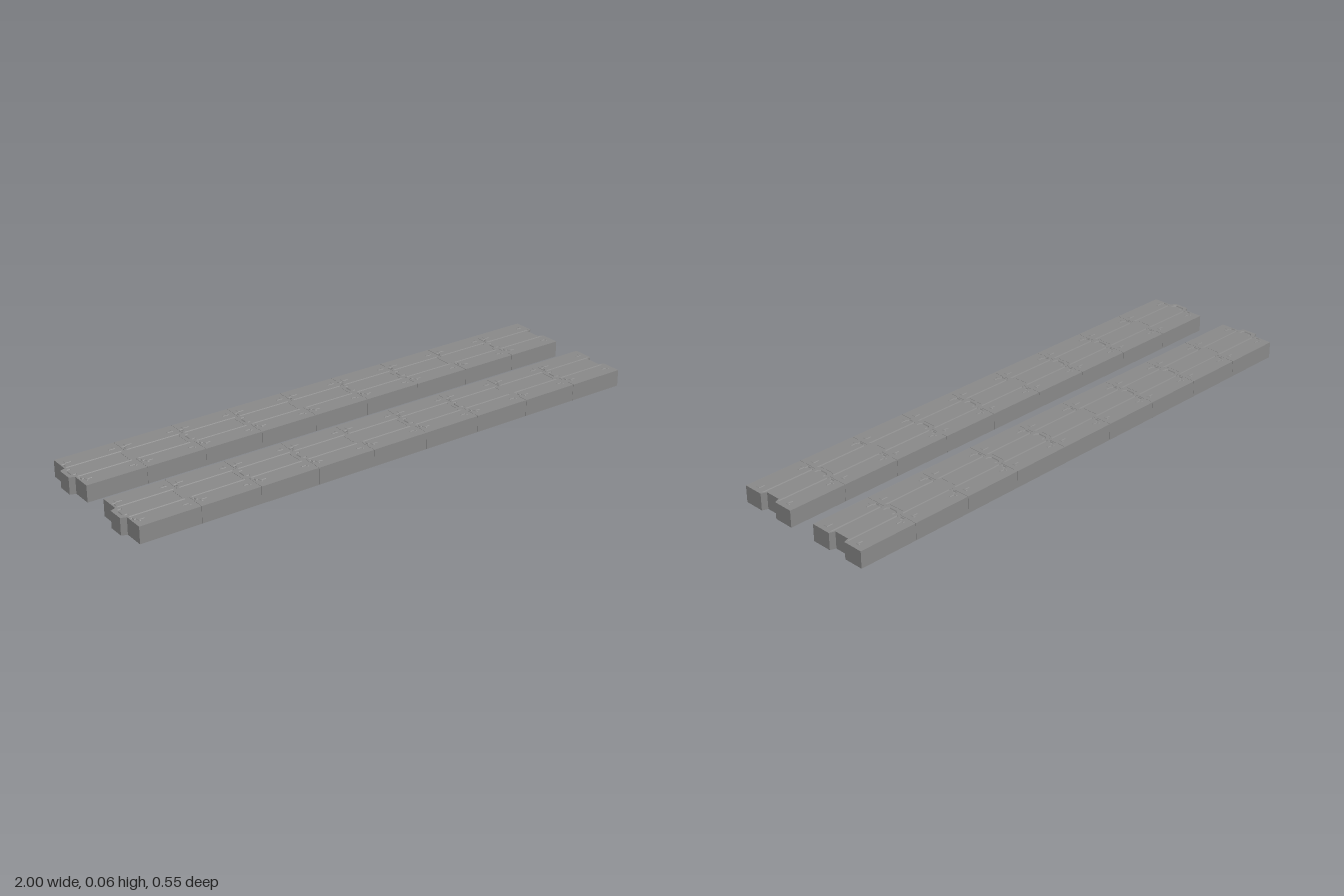
import * as THREE from 'three';
import { mergeGeometries } from 'three/addons/utils/BufferGeometryUtils.js';

const PITCH = 0.2201, END = 0.2192, HALF = 0.11, TOP = 0.061, COUNT = 9;
const material = new THREE.MeshStandardMaterial({ color: 0x888888, flatShading: true, side: THREE.DoubleSide });

// Plan polygon, always counter-clockwise
function points(list) {
  const poly = list.map(([x, y]) => new THREE.Vector2(x, y));
  return THREE.ShapeUtils.isClockWise(poly) ? poly.reverse() : poly;
}

// Plan of one link: a tapered tab at the start, a matching notch at the end
const outline = points([
  [0, -HALF], [END, -HALF], [END, -0.036], [END - 0.02, -0.029], [END - 0.02, 0.029], [END, 0.036],
  [END, HALF], [0, HALF], [0, 0.036], [-0.02, 0.029], [-0.02, -0.029], [0, -0.036],
]);

// Recesses in the deck: two long grooves, joint slots and a bracket on the tab
function recesses(withBracket) {
  const list = [];
  for (const s of [-1, 1]) {
    list.push([[0.008, 0.035 * s], [END - 0.014, 0.035 * s], [END - 0.008, 0.041 * s], [0.008, 0.041 * s]]);
    list.push([
      [0.005, 0.048 * s], [0.011, 0.048 * s], [0.011, 0.06 * s], [0.019, 0.06 * s],
      [0.019, 0.066 * s], [0.005, 0.066 * s],
    ]);
  }
  if (withBracket) {
    list.push([
      [0.014, -0.023], [0, -0.023], [-0.008, -0.015], [-0.008, 0.015], [0, 0.023], [0.014, 0.023],
      [0.014, 0.017], [0.003, 0.017], [-0.002, 0.012], [-0.002, -0.012], [0.003, -0.017], [0.014, -0.017],
    ]);
  }
  return list.map(points);
}

const flat = (shape, y) => new THREE.ShapeGeometry(shape).rotateX(-Math.PI / 2).translate(0, y, 0)
  .deleteAttribute('uv').toNonIndexed();

// Move every edge of a polygon inwards by d
function inset(poly, d) {
  const n = poly.length;
  return poly.map((p, i) => {
    const normals = [[poly[(i + n - 1) % n], p], [p, poly[(i + 1) % n]]].map(([a, b]) => {
      const e = b.clone().sub(a).normalize();
      return new THREE.Vector2(-e.y, e.x);
    });
    const scale = d / (1 + normals[0].dot(normals[1]));
    return p.clone().addScaledVector(normals[0].add(normals[1]), scale);
  });
}

// Band of faces between two polygons at two heights
function band(low, y0, high, y1) {
  const position = [];
  low.forEach((a, i) => {
    const j = (i + 1) % low.length;
    const b = low[j], c = high[j], d = high[i];
    position.push(a.x, y0, -a.y, b.x, y0, -b.y, c.x, y1, -c.y);
    position.push(a.x, y0, -a.y, c.x, y1, -c.y, d.x, y1, -d.y);
  });
  const geometry = new THREE.BufferGeometry();
  geometry.setAttribute('position', new THREE.Float32BufferAttribute(position, 3));
  geometry.computeVertexNormals();
  return geometry;
}

// Sloped recess (negative rise) or lug (positive rise) starting at the deck
function relief(poly, rise, slope) {
  const inner = inset(poly, slope);
  return [band(poly, TOP, inner, TOP + rise), flat(new THREE.Shape(inner), TOP + rise)];
}

function deckGeometry(withBracket) {
  const plan = new THREE.Shape(outline);
  const cuts = recesses(withBracket);
  plan.holes = cuts.map((c) => new THREE.Path(c));
  return mergeGeometries([flat(plan, TOP), ...cuts.flatMap((c) => relief(c, -0.003, 0.002))]);
}

// Small raised L-shaped lugs near the four corners
function lugGeometry() {
  const parts = [];
  for (const sx of [-1, 1]) {
    for (const sz of [-1, 1]) {
      const corner = [[0.068, 0.066], [0.092, 0.066], [0.092, 0.081], [0.085, 0.081], [0.085, 0.073], [0.068, 0.073]];
      const poly = points(corner.map(([x, y]) => [END / 2 + sx * x, sz * y]));
      parts.push(...relief(poly, 0.0015, 0.0015));
    }
  }
  return mergeGeometries(parts);
}

export function createModel() {
  const model = new THREE.Group();
  model.name = 'twinTracks';
  const plainDeck = deckGeometry(false);
  const bracketDeck = deckGeometry(true);
  const skirt = band(outline, 0, outline, TOP); // open below
  const lugs = lugGeometry();

  for (const side of [-1, 1]) {
    const track = new THREE.Group();
    track.name = side > 0 ? 'frontTrack' : 'backTrack';
    track.position.z = side * 0.165;
    for (let i = 0; i < COUNT; i++) {
      const link = new THREE.Group();
      link.name = `link${i + 1}`;
      link.position.x = -0.98 + i * PITCH;
      const parts = { deck: i % 3 === 1 ? plainDeck : bracketDeck, skirt, lugs };
      for (const [name, geometry] of Object.entries(parts)) {
        const mesh = new THREE.Mesh(geometry, material);
        mesh.name = name;
        link.add(mesh);
      }
      track.add(link);
    }
    model.add(track);
  }
  return model;
}
